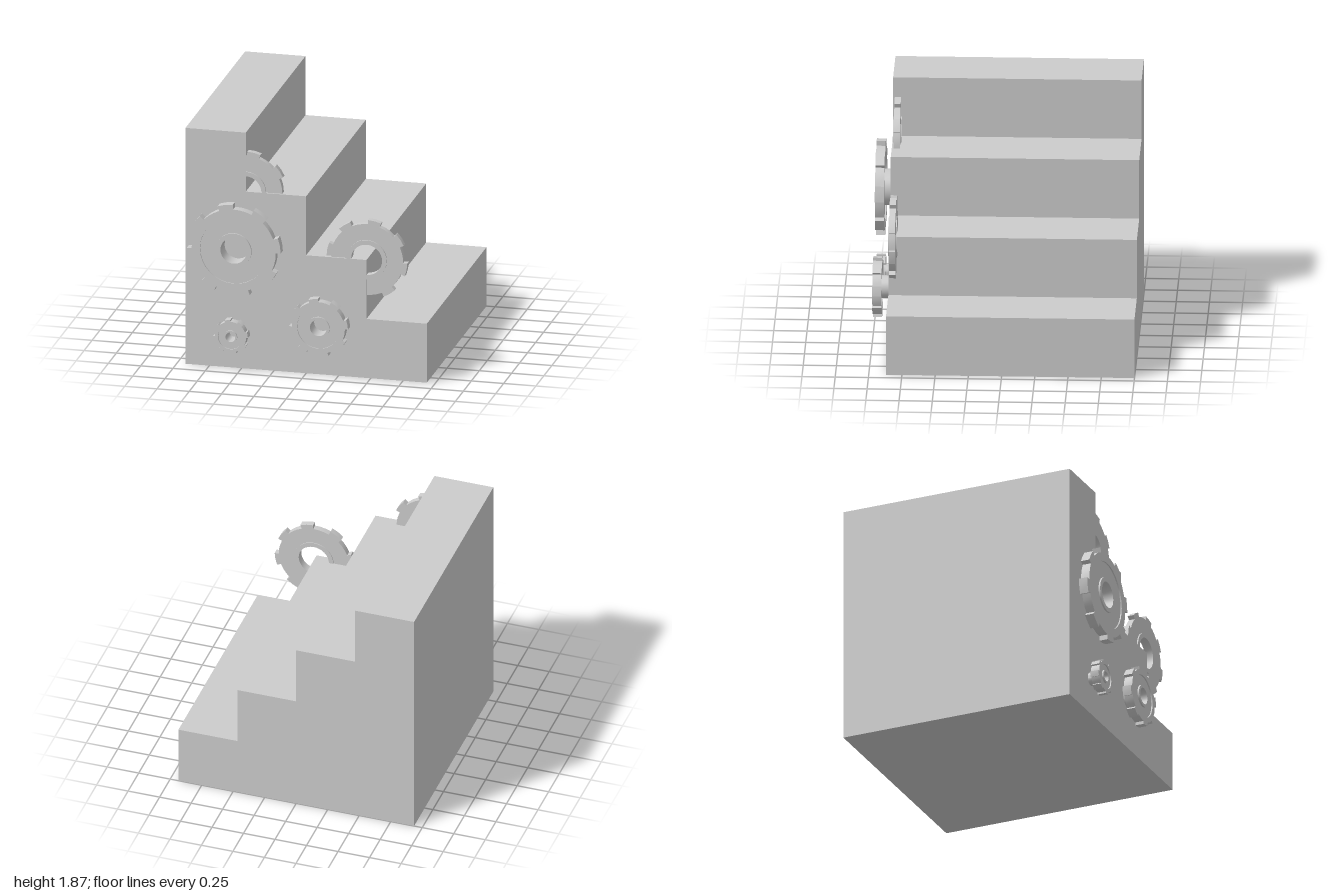
import * as THREE from 'three';
import { toCreasedNormals } from 'three/addons/utils/BufferGeometryUtils.js';

const material = new THREE.MeshStandardMaterial({ color: 0xcccccc });
const RAD = Math.PI / 180;

function circlePoints(r, sides = 32) {
  return Array.from({ length: sides }, (_, i) => {
    const a = (i / sides) * Math.PI * 2;
    return new THREE.Vector2(r * Math.cos(a), r * Math.sin(a));
  });
}

// Eight-toothed outline, first tooth centred at the given angle in degrees
function toothedPoints(r, angle) {
  const points = [];
  const add = (radius, deg) => points.push(
    new THREE.Vector2(radius * Math.cos(deg * RAD), radius * Math.sin(deg * RAD)));
  const root = r * 0.895;
  for (let i = 0; i < 8; i++) {
    const a = angle + i * 45;
    add(root, a - 9.5);
    add(r, a - 9.5);
    add(r, a);
    add(r, a + 9.5);
    for (let k = 0; k < 3; k++) add(root, a + 9.5 + k * 8.67);
  }
  return points;
}

// Flat plate with a round hole, from z0 to z1
function plate(name, outline, hole, z0, z1) {
  const shape = new THREE.Shape(outline);
  if (hole) shape.holes.push(new THREE.Path(circlePoints(hole)));
  const flat = new THREE.ExtrudeGeometry(shape, { depth: z1 - z0, bevelEnabled: false });
  const mesh = new THREE.Mesh(toCreasedNormals(flat, 25 * RAD), material);
  mesh.position.z = z0;
  mesh.name = name;
  return mesh;
}

// Gear mounted on the front wall: toothed rim, recessed web, hub standing off the wall
function wallGear(name, x, y, r) {
  const gear = new THREE.Group();
  gear.name = name;
  gear.add(
    plate('toothedRim', toothedPoints(r, 10.5), r * 0.72, 0.928, 0.997),
    plate('web', circlePoints(r * 0.72), r * 0.37, 0.938, 0.987),
    plate('hub', circlePoints(r * 0.375), r * 0.28, 0.87, 1));
  gear.position.set(x, y, 0);
  return gear;
}

// Gear set into the corner of a step, with a slightly thicker collar
function stepGear(name, x, y) {
  const gear = new THREE.Group();
  gear.name = name;
  gear.add(
    plate('toothedRing', toothedPoints(0.313, -11), 0.15, 0.809, 0.857),
    plate('collar', circlePoints(0.155), 0.12, 0.803, 0.867));
  gear.position.set(x, y, 0);
  return gear;
}

export function createModel() {
  const model = new THREE.Group();
  model.name = 'gearStaircase';

  // Solid block of four steps descending towards +x
  const half = 0.935, step = half / 2;
  const profile = [new THREE.Vector2(-half, 0), new THREE.Vector2(half, 0)];
  for (let i = 0; i < 4; i++) {
    profile.push(new THREE.Vector2(half - i * step, (i + 1) * step));
    profile.push(new THREE.Vector2(half - (i + 1) * step, (i + 1) * step));
  }
  model.add(plate('stairs', profile, 0, -1, 0.87));

  model.add(
    wallGear('largeGear', -0.53, 0.97, 0.364),
    wallGear('mediumGear', 0.126, 0.41, 0.229),
    wallGear('smallGear', -0.555, 0.283, 0.135),
    stepGear('upperStepGear', -step, 3 * step),
    stepGear('lowerStepGear', step, 2 * step));
  return model;
}
